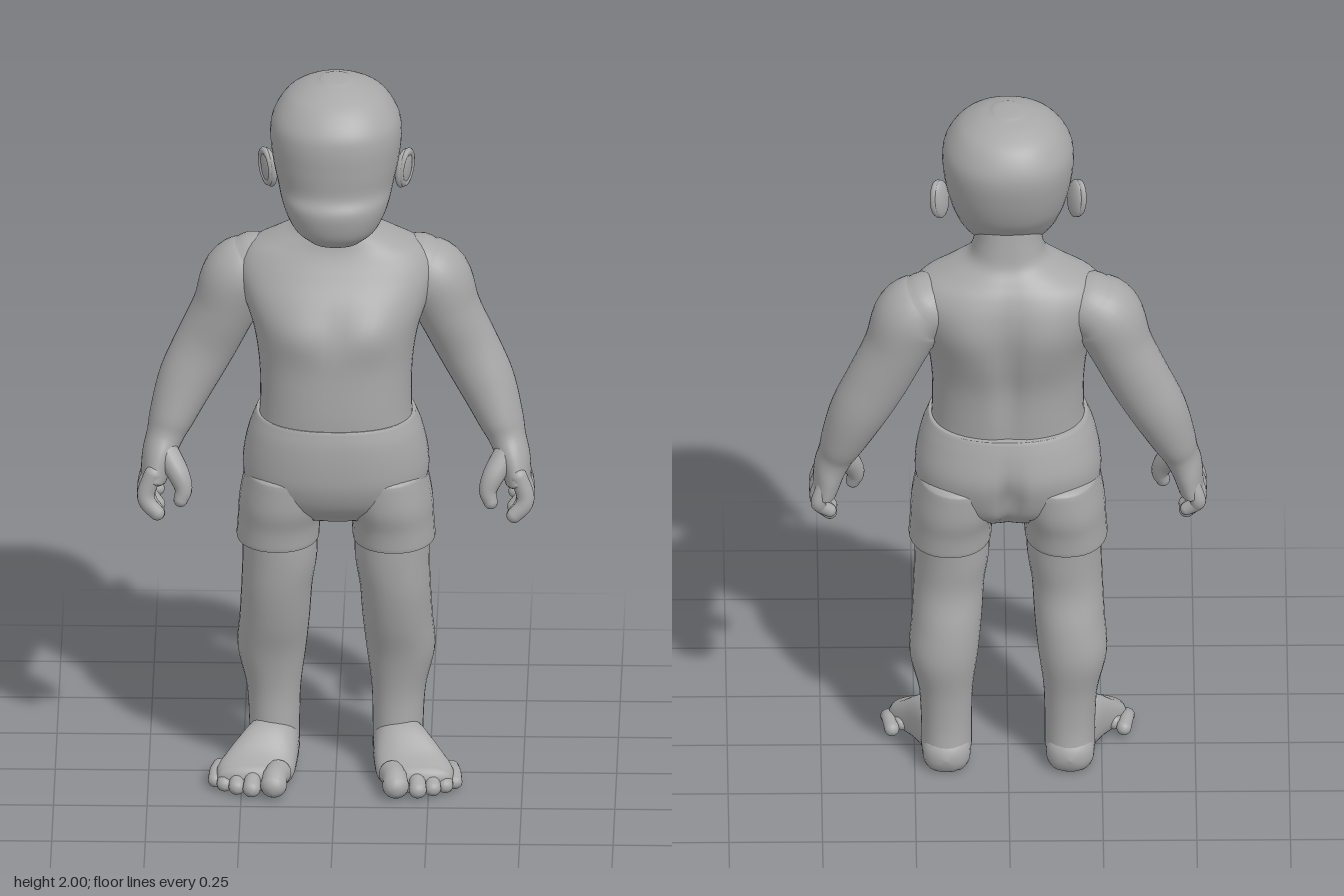
import * as THREE from 'three';

const X = new THREE.Vector3(0, 0, 1);
const UP = new THREE.Vector3(0, 1, 0);

// Smooth skin through elliptical sections [x, y, z, a, b], with rounded ends.
function sweep(sections, { ref = X, dir = null, caps = [1, 1], power = 2, segs = 32, steps = 5, deform = null } = {}) {
  const path = new THREE.CatmullRomCurve3(sections.map(s => new THREE.Vector3(s[0], s[1], s[2])), false, 'catmullrom');
  const size = new THREE.CatmullRomCurve3(sections.map(s => new THREE.Vector3(s[3], s[4], 0)), false, 'catmullrom');
  const n = (sections.length - 1) * steps, rings = [];
  const ring = (t, offset = 0, k = 1) => {
    const tan = dir ? dir.clone() : path.getTangent(t).normalize();
    const r = size.getPoint(t);
    rings.push({ c: path.getPoint(t).addScaledVector(tan, offset * Math.min(r.x, r.y)), tan, a: r.x * k, b: r.y * k });
  };
  const arc = [0.001, 0.3, 0.6, 0.85, 1.15, 1.4];
  arc.forEach(q => ring(0, -Math.cos(q) * caps[0], Math.sin(q)));
  for (let i = 0; i <= n; i++) ring(i / n);
  arc.slice().reverse().forEach(q => ring(1, Math.cos(q) * caps[1], Math.sin(q)));

  const pos = [], index = [];
  const bend = v => Math.sign(v) * Math.pow(Math.abs(v), 2 / power);
  for (const { c, tan, a, b } of rings) {
    const u = new THREE.Vector3().crossVectors(tan, ref).normalize();
    const v = new THREE.Vector3().crossVectors(u, tan);
    for (let j = 0; j < segs; j++) {
      const q = j / segs * Math.PI * 2;
      const p = c.clone().addScaledVector(u, a * bend(Math.cos(q))).addScaledVector(v, b * bend(Math.sin(q)));
      if (deform) deform(p);
      pos.push(p.x, p.y, p.z);
    }
  }
  for (let i = 0; i < rings.length - 1; i++) for (let j = 0; j < segs; j++) {
    const k = (j + 1) % segs, A = i * segs + j, B = i * segs + k;
    index.push(A, A + segs, B, B, A + segs, B + segs);
  }
  const g = new THREE.BufferGeometry();
  g.setAttribute('position', new THREE.Float32BufferAttribute(pos, 3));
  g.setIndex(index);
  g.computeVertexNormals();
  return g;
}

// Upright body part from rows [y, centre x, half width, front z, back z].
const stack = (rows, options) => sweep(
  rows.map(([y, x, w, f, b]) => [x, y, (f + b) / 2, w, (f - b) / 2]), { dir: UP, ...options });

function mirror(geometry) {
  const g = geometry.clone().scale(-1, 1, 1), ix = g.index.array;
  for (let i = 0; i < ix.length; i += 3) [ix[i], ix[i + 1]] = [ix[i + 1], ix[i]];
  return g;
}

const bell = (v, centre, width) => Math.exp(-(((v - centre) / width) ** 2));

export function createModel() {
  const model = new THREE.Group();
  model.name = 'figure';
  const clay = new THREE.MeshStandardMaterial({ color: 0xa8a8a8 });
  clay.name = 'grey clay';
  const add = (name, g) => {
    const m = new THREE.Mesh(g, clay);
    m.name = name;
    model.add(m);
  };
  const pair = (name, g) => { add(name + 'Left', g); add(name + 'Right', mirror(g)); };

  // Head, with a flat brow and projecting muzzle
  add('head', stack([
    [1.572, 0, 0.07, 0.138, 0.0], [1.6, 0, 0.108, 0.165, -0.06], [1.64, 0, 0.132, 0.18, -0.105],
    [1.68, 0, 0.146, 0.184, -0.14], [1.72, 0, 0.156, 0.168, -0.168], [1.78, 0, 0.169, 0.172, -0.192],
    [1.85, 0, 0.176, 0.175, -0.208], [1.9, 0, 0.167, 0.164, -0.203], [1.95, 0, 0.134, 0.122, -0.172],
    [1.98, 0, 0.088, 0.07, -0.122], [1.994, 0, 0.045, 0.028, -0.075],
  ], { caps: [0.06, 0.12], power: 2.15, segs: 48 }));

  // Ears
  const ear = new THREE.SphereGeometry(1, 20, 14).scale(0.016, 0.056, 0.036);
  ear.rotateY(-0.5).rotateZ(-0.1).translate(0.18, 1.73, -0.042);
  pair('ear', ear);
  const earRim = new THREE.TorusGeometry(0.036, 0.009, 8, 24).scale(0.8, 1.25, 1);
  earRim.rotateY(Math.PI / 2 - 0.5).rotateZ(-0.1).translate(0.187, 1.732, -0.043);
  pair('earRim', earRim);

  // Torso and neck, with chest, shoulder blades and spine furrow
  add('torso', stack([
    [1.0, 0, 0.21, 0.165, -0.165], [1.08, 0, 0.203, 0.17, -0.172], [1.19, 0, 0.205, 0.168, -0.182],
    [1.29, 0, 0.22, 0.165, -0.205], [1.38, 0, 0.25, 0.135, -0.217], [1.45, 0, 0.262, 0.095, -0.212],
    [1.5, 0, 0.235, 0.068, -0.195], [1.535, 0, 0.17, 0.055, -0.172], [1.57, 0, 0.108, 0.05, -0.148],
    [1.62, 0, 0.09, 0.05, -0.138], [1.68, 0, 0.085, 0.05, -0.13],
  ], {
    caps: [0.1, 0.1], power: 2.3, segs: 64,
    deform: p => {
      const ax = Math.abs(p.x);
      if (p.z > 0) p.z += bell(p.y, 1.32, 0.06) * (0.014 * bell(ax, 0.1, 0.07) - 0.004 * bell(ax, 0, 0.02));
      else {
        p.z += 0.022 * bell(ax, 0, 0.03) * bell(p.y, 1.26, 0.2);
        p.z -= 0.012 * bell(ax, 0.11, 0.06) * bell(p.y, 1.38, 0.1);
      }
    },
  }));

  // Shorts: hips with a rear cleft, then two open-hemmed legs
  add('shortsHips', stack([
    [0.77, 0, 0.17, 0.1, -0.13], [0.81, 0, 0.225, 0.145, -0.175], [0.87, 0, 0.247, 0.172, -0.2],
    [0.93, 0, 0.247, 0.18, -0.21], [1.0, 0, 0.232, 0.18, -0.197], [1.05, 0, 0.213, 0.172, -0.183],
  ], {
    caps: [0.2, 0.02], power: 2.3, segs: 64,
    deform: p => { if (p.z < 0) p.z += 0.035 * bell(p.x, 0, 0.025) * bell(p.y, 0.86, 0.09); },
  }));
  pair('shortsLeg', stack([
    [0.685, 0.155, 0.111, 0.13, -0.17], [0.74, 0.151, 0.111, 0.137, -0.178],
    [0.8, 0.142, 0.116, 0.152, -0.192], [0.88, 0.13, 0.113, 0.155, -0.195],
  ], { caps: [0.02, 0.3], power: 2.2 }));

  // Legs
  pair('leg', stack([
    [0.05, 0.165, 0.068, 0.03, -0.158], [0.13, 0.165, 0.068, 0.024, -0.15], [0.23, 0.167, 0.073, 0.022, -0.155],
    [0.34, 0.172, 0.092, 0.042, -0.174], [0.44, 0.164, 0.094, 0.075, -0.167], [0.54, 0.158, 0.095, 0.1, -0.146],
    [0.63, 0.15, 0.1, 0.112, -0.15], [0.74, 0.15, 0.1, 0.118, -0.16],
  ], { caps: [0.3, 0.1], power: 2.15 }));

  // Feet, flattened at the sole
  const sole = p => { p.y = Math.max(p.y, 0); };
  pair('foot', sweep([
    [0.165, 0.045, -0.11, 0.064, 0.058], [0.168, 0.065, -0.04, 0.07, 0.085], [0.185, 0.062, 0.03, 0.084, 0.085],
    [0.212, 0.04, 0.09, 0.102, 0.055], [0.222, 0.032, 0.13, 0.092, 0.04],
  ], { ref: UP, dir: new THREE.Vector3(0, 0, 1), caps: [0.95, 0.7], power: 2.3, deform: sole }));

  // Toes: [x, tip z, radius]
  [[0.163, 0.22, 0.036], [0.222, 0.207, 0.024], [0.262, 0.188, 0.022], [0.295, 0.165, 0.021], [0.32, 0.135, 0.02]]
    .forEach(([x, z, r], i) => pair('toe' + (i + 1), sweep([
      [x - 0.01, r + 0.008, z - 0.1, r, r], [x - 0.002, r + 0.012, z - 0.055, r * 0.92, r * 0.9], [x, r, z - r, r, r * 0.95],
    ], { ref: UP, segs: 16, deform: sole })));

  // Arms down to the palm
  pair('arm', sweep([
    [0.215, 1.435, -0.09, 0.085, 0.095], [0.262, 1.395, -0.09, 0.098, 0.106], [0.302, 1.3, -0.092, 0.086, 0.095],
    [0.35, 1.2, -0.094, 0.083, 0.082], [0.4, 1.1, -0.085, 0.077, 0.08], [0.44, 1.0, -0.065, 0.061, 0.074],
    [0.458, 0.95, -0.052, 0.05, 0.066], [0.475, 0.9, -0.038, 0.044, 0.078], [0.487, 0.84, -0.028, 0.036, 0.086],
  ], { caps: [0.9, 0.6] }));

  // Curled fingers: [z, tip y, radius]
  [[0.036, 0.745, 0.024], [-0.008, 0.728, 0.025], [-0.052, 0.735, 0.024], [-0.092, 0.765, 0.021]]
    .forEach(([z, y, r], i) => pair('finger' + (i + 1), sweep([
      [0.488, 0.87, z * 0.9, r, r], [0.506, 0.82, z, r, r],
      [0.502, (0.82 + y) / 2 + 0.008, z + 0.006, r * 0.95, r * 0.95], [0.477, y + r * 0.8, z + 0.012, r * 0.85, r * 0.85],
    ], { segs: 16 })));
  pair('thumb', sweep([
    [0.455, 0.92, -0.01, 0.034, 0.036], [0.422, 0.87, 0.022, 0.03, 0.032],
    [0.407, 0.83, 0.036, 0.024, 0.025], [0.414, 0.8, 0.043, 0.019, 0.02],
  ], { segs: 16 }));

  return model;
}
